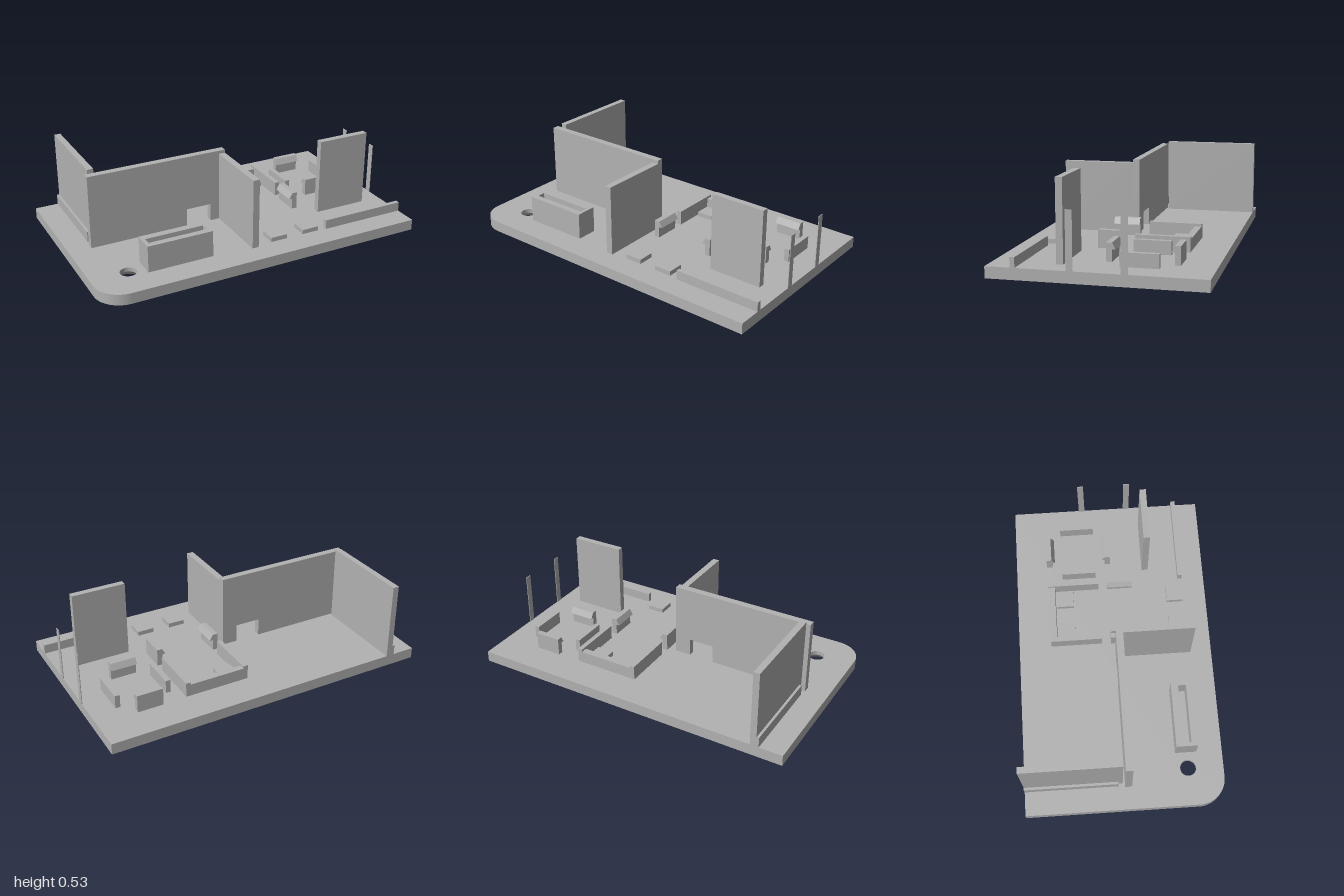
import * as THREE from 'three';
import { toCreasedNormals } from 'three/addons/utils/BufferGeometryUtils.js';

const TOP = 0.066; // upper face of the base plate

export function createModel() {
  const model = new THREE.Group();
  model.name = 'mountingPlate';
  const grey = new THREE.MeshStandardMaterial({ color: 0xb2b2b2 });
  grey.name = 'plain grey';

  const add = (name, geometry) => {
    const mesh = new THREE.Mesh(geometry, grey);
    mesh.name = name;
    model.add(mesh);
    return mesh;
  };
  // Box given by its limits
  const box = (name, x0, x1, z0, z1, y1, y0 = TOP) =>
    add(name, new THREE.BoxGeometry(x1 - x0, y1 - y0, z1 - z0)
      .translate((x0 + x1) / 2, (y0 + y1) / 2, (z0 + z1) / 2));
  const polygon = (points) => new THREE.Shape(points.map(([x, y]) => new THREE.Vector2(x, y)));
  const extrude = (shape, depth) =>
    new THREE.ExtrudeGeometry(shape, { depth, bevelEnabled: false, curveSegments: 24 });
  // Plan outline (x, -z) raised from y0 to y1
  const raise = (name, shape, y0, y1) =>
    add(name, toCreasedNormals(extrude(shape, y1 - y0).rotateX(-Math.PI / 2).translate(0, y0, 0), 0.5));

  // Base plate with one rounded corner and a countersunk screw hole
  const hole = { x: -0.775, z: 0.387, r: 0.048, sink: 0.09, step: 0.04 };
  const plate = (radius) => {
    const s = new THREE.Shape();
    const r = 0.16;
    s.moveTo(-1 + r, -0.6);
    s.lineTo(1, -0.6);
    s.lineTo(1, 0.6);
    s.lineTo(-1, 0.6);
    s.lineTo(-1, -0.6 + r);
    s.absarc(-1 + r, -0.6 + r, r, Math.PI, Math.PI * 1.5, false);
    s.holes.push(new THREE.Path().absarc(hole.x, -hole.z, radius, 0, Math.PI * 2, true));
    return s;
  };
  raise('basePlateLower', plate(hole.sink), 0, hole.step);
  raise('basePlateUpper', plate(hole.r), hole.step, TOP);
  add('countersink', new THREE.LatheGeometry(
    [new THREE.Vector2(hole.r, hole.step), new THREE.Vector2(hole.sink, 0)], 48))
    .position.set(hole.x, 0, hole.z);

  // Long wall with a doorway cut in its foot
  add('longWall', extrude(polygon([
    [-0.865, TOP], [-0.255, TOP], [-0.255, 0.176], [-0.097, 0.176],
    [-0.097, TOP], [0, TOP], [0, 0.515], [-0.865, 0.515],
  ]), 0.042));
  box('partitionWall', -0.04, 0, 0.042, 0.469, 0.495);
  box('sideWall', -0.843, -0.805, -0.6, -0.013, 0.534);
  box('sideWallFoot', -0.858, -0.843, -0.6, -0.04, 0.13);

  // Socket block with a slot
  const block = polygon([[-0.679, -0.444], [-0.281, -0.444], [-0.281, -0.315], [-0.679, -0.315]]);
  block.holes.push(polygon([[-0.657, -0.406], [-0.657, -0.358], [-0.303, -0.358], [-0.303, -0.406]]));
  raise('socketBlock', block, TOP, 0.227);
  box('socketFloor', -0.657, -0.303, 0.358, 0.406, 0.1);

  // Standing panel, front rail and thin edge posts
  box('standingPanel', 0.544, 0.874, 0.207, 0.246, 0.534);
  box('frontRail', 0.466, 1, 0.432, 0.459, 0.123);
  for (const z of [0.135, -0.158]) box('edgePost', 0.996, 1, z - 0.019, z + 0.019, 0.389);

  // Snap hooks, each facing along its own local x
  const hook = polygon([[0, TOP], [0.033, TOP], [0.033, 0.135], [0.053, 0.135], [0.033, 0.172], [0, 0.172]]);
  const hookGeometry = extrude(hook, 0.158).translate(0, 0, -0.079);
  const snapHook = (x, z, turn) => {
    const mesh = add('snapHook', hookGeometry);
    mesh.position.set(x, 0, z);
    mesh.rotation.y = turn;
  };
  snapHook(0.05, 0.055, 0);
  snapHook(0.457, 0.055, Math.PI);
  snapHook(0.679, 0.004, Math.PI / 2);
  snapHook(0.679, -0.403, -Math.PI / 2);

  // Guide rails between the hooks
  for (const x of [0.524, 0.836]) box('guideRail', x - 0.015, x + 0.015, -0.307, -0.093, 0.145);

  // U-shaped bracket
  box('bracketBack', 0.083, 0.426, -0.398, -0.358, 0.139);
  box('bracketSide', 0.054, 0.083, -0.398, -0.08, 0.154);
  box('bracketSide', 0.426, 0.455, -0.398, -0.08, 0.154);

  // Support pads
  for (const x of [0.147, 0.361])
    for (const z of [0.401, -0.295]) box('supportPad', x - 0.053, x + 0.053, z - 0.051, z + 0.051, 0.093);

  return model;
}
